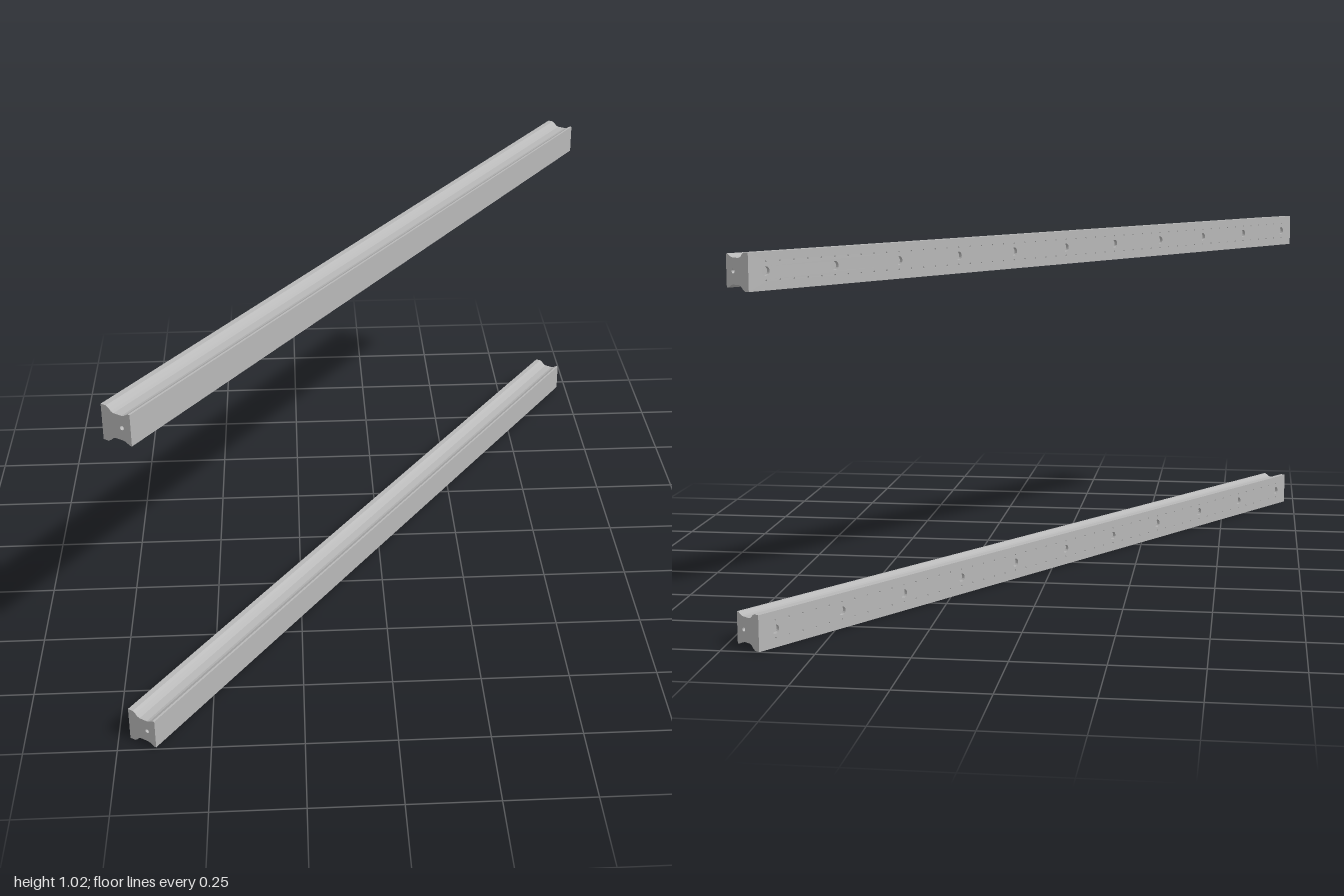
import * as THREE from 'three';

const LENGTH = 2.38;   // rail length
const WIDTH = 0.088;   // rail depth, back face to front face
const MID = 0.049;     // half of the rail height
const PLATE = 0.01;    // thickness of the drilled back face

function circle(x, y, r) {
  const path = new THREE.Path();
  path.absarc(x, y, r, 0, Math.PI * 2, true);
  return path;
}

// Grooved section extruded along the rail, with a screw hole in the ends
function bodyGeometry() {
  const upper = [ // distance from the back, height above the middle
    [PLATE, 0.049], [0.016, 0.049], [0.024, 0.044], [0.03, 0.037],
    [0.038, 0.034], [0.062, 0.034], [0.07, 0.036], [0.077, 0.04], [0.082, 0.043], [WIDTH, 0.043],
  ];
  const lower = upper.map(([u, h]) => [u, -h]).reverse();
  const points = [...upper, ...lower].map(([u, h]) => new THREE.Vector2(u - WIDTH / 2, MID + h));
  const shape = new THREE.Shape(points.reverse());
  shape.holes.push(circle(0.061 - WIDTH / 2, MID, 0.006));
  const geometry = new THREE.ExtrudeGeometry(shape, { depth: LENGTH, bevelEnabled: false, curveSegments: 8 });
  return geometry.translate(0, 0, -LENGTH / 2);
}

// Back face with a row of mounting holes between two rows of fine holes
function drilledGeometry() {
  const half = LENGTH / 2, pitch = 0.227;
  const shape = new THREE.Shape([
    new THREE.Vector2(-half, 0), new THREE.Vector2(half, 0),
    new THREE.Vector2(half, 2 * MID), new THREE.Vector2(-half, 2 * MID),
  ]);
  for (let i = -5; i <= 5; i++) shape.holes.push(circle(i * pitch, MID, 0.012));
  for (let i = -25; i <= 25; i++) {
    for (const h of [-0.024, 0.024]) shape.holes.push(circle(i * pitch / 5, MID + h, 0.0025));
  }
  const geometry = new THREE.ExtrudeGeometry(shape, { depth: PLATE, bevelEnabled: false, curveSegments: 8 });
  return geometry.rotateY(-Math.PI / 2).translate(PLATE - WIDTH / 2, 0, 0);
}

export function createModel() {
  const model = new THREE.Group();
  model.name = 'railPair';
  const steel = new THREE.MeshStandardMaterial({ color: 0xb8b8b8 });
  steel.name = 'steelGrey';
  const body = bodyGeometry(), drilled = drilledGeometry();

  // Two identical rails, one above the other, set diagonally
  for (const [name, y] of [['lowerRail', 0], ['upperRail', 0.927]]) {
    const rail = new THREE.Group();
    rail.name = name;
    const railBody = new THREE.Mesh(body, steel);
    railBody.name = 'groovedBody';
    const backFace = new THREE.Mesh(drilled, steel);
    backFace.name = 'drilledBackFace';
    rail.add(railBody, backFace);
    rail.position.y = y;
    rail.rotation.y = -THREE.MathUtils.degToRad(35);
    model.add(rail);
  }
  return model;
}
